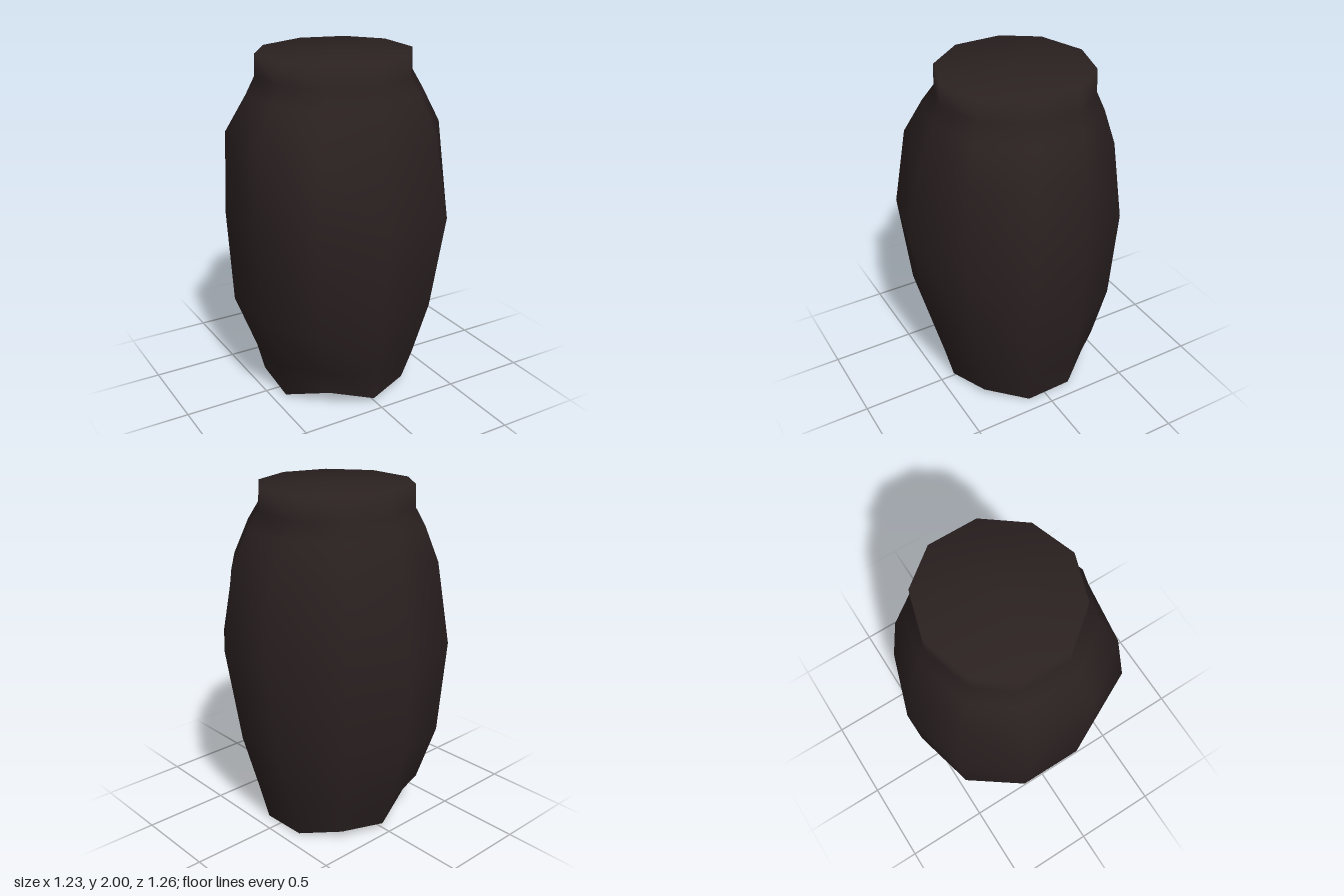
import * as THREE from 'three';
import { mergeVertices } from 'three/addons/utils/BufferGeometryUtils.js';

// Ten-sided outlines [x, z], starting at the back and running towards +x
const RIM = [[0, -0.445], [0.26, -0.37], [0.415, -0.17], [0.415, 0.11], [0.25, 0.33],
  [0, 0.415], [-0.25, 0.33], [-0.425, 0.11], [-0.425, -0.17], [-0.28, -0.36]];
const BELLY = [[0, -0.635], [0.36, -0.515], [0.6, -0.13], [0.615, 0.21], [0.41, 0.5],
  [-0.06, 0.63], [-0.44, 0.53], [-0.615, 0.18], [-0.615, -0.22], [-0.4, -0.54]];
const N = RIM.length;

// Uneven bulge from rim outline (0) to belly outline (1) at each corner
const SHOULDER = [0.52, 0.65, 0.77, 0.74, 0.65, 0.5, 0.7, 0.92, 0.9, 0.65];
const THIGH = [0.8, 0.78, 0.68, 0.64, 0.65, 0.6, 0.75, 0.85, 0.85, 0.8];
const CUFF = [0.38, 0.32, 0.25, 0.25, 0.25, 0.22, 0.1, 0.2, 0.22, 0.3];

// Height at each corner of the top rim and of the ragged hem
const TOP = [2, 2, 2, 1.995, 1.99, 1.99, 1.99, 1.99, 1.99, 1.995];
const HEM = [0.03, 0.05, 0.01, 0, 0.045, 0.015, 0.085, 0.01, 0.05, 0.14];

const even = (value) => Array(N).fill(value);

// Joins rings listed from top to bottom into a smooth skin facing outwards
function loft(rings) {
  const index = [];
  for (let r = 0; r < rings.length - 1; r++) {
    for (let i = 0; i < N; i++) {
      const j = (i + 1) % N;
      const a = r * N + i, b = r * N + j, c = a + N, d = b + N;
      index.push(a, b, c, b, d, c);
    }
  }
  const geometry = new THREE.BufferGeometry();
  geometry.setAttribute('position', new THREE.Float32BufferAttribute(rings.flat(2), 3));
  geometry.setIndex(index);
  const merged = mergeVertices(geometry);
  merged.computeVertexNormals();
  return merged;
}

export function createModel() {
  const group = new THREE.Group();
  const darkBrown = new THREE.MeshStandardMaterial({ color: 0x2b2121, side: THREE.DoubleSide });
  darkBrown.name = 'darkBrown';

  // Barrel-shaped wall, open at the hem: [heights, bulges] per ring
  const wall = [
    [TOP, even(0)], [even(1.87), even(0.02)], [even(1.77), even(0.28)], [even(1.57), SHOULDER],
    [even(1.1), even(1)], [even(0.55), THIGH], [even(0.22), CUFF], [HEM, even(0)],
  ].map(([heights, bulges]) => RIM.map(([x, z], i) => [
    x + (BELLY[i][0] - x) * bulges[i],
    heights[i],
    z + (BELLY[i][1] - z) * bulges[i],
  ]));

  // Flat lid across the rim, shaded smoothly into the wall
  const lidCentre = RIM.map(() => [0, 1.995, 0]);
  const sleeve = new THREE.Mesh(loft([lidCentre, ...wall]), darkBrown);
  sleeve.name = 'sleeve';
  group.add(sleeve);

  return group;
}
